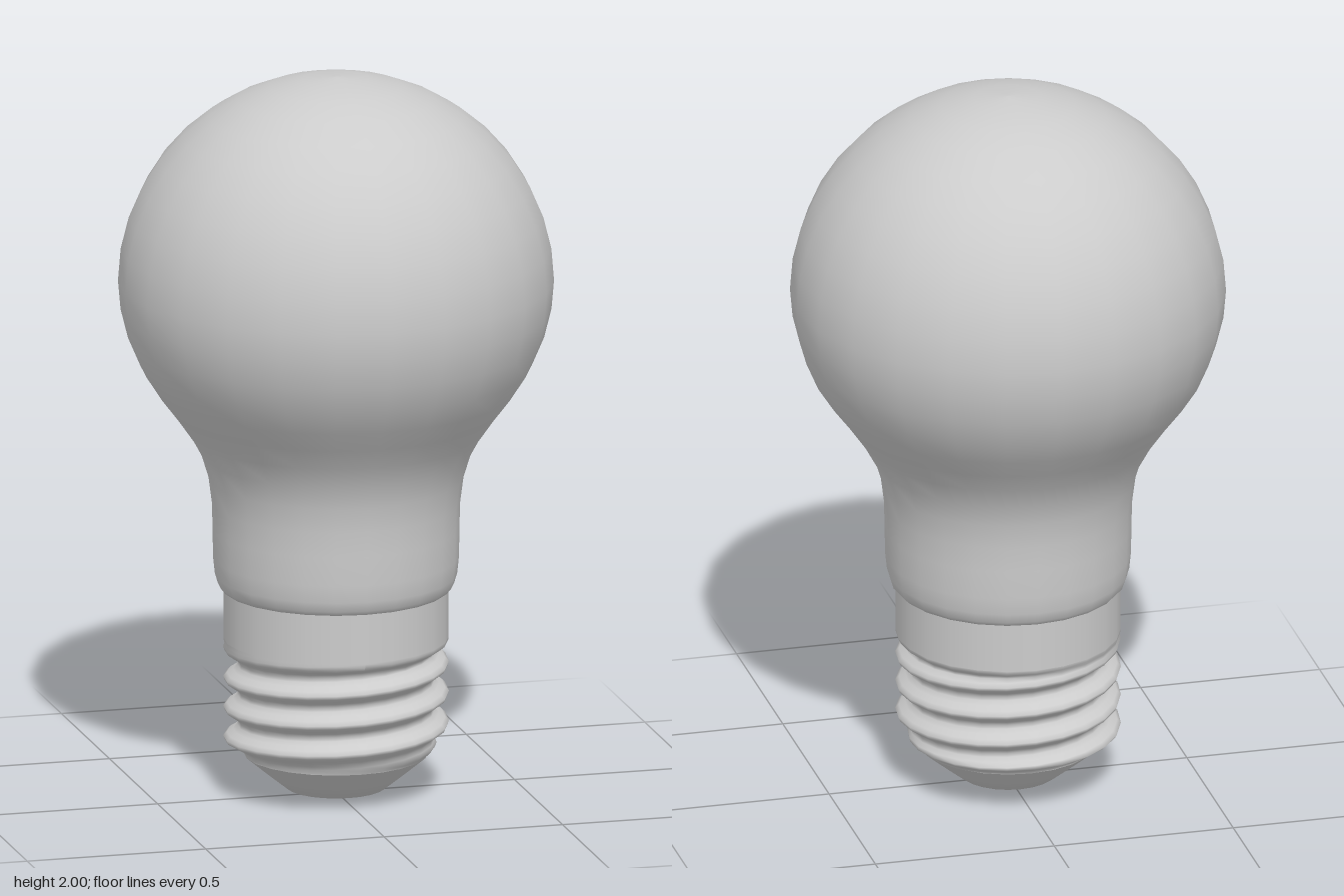
import * as THREE from 'three';
import { mergeVertices, toCreasedNormals } from 'three/addons/utils/BufferGeometryUtils.js';

const SIDES = 24;
const material = new THREE.MeshStandardMaterial({ color: 0xcccccc });
const toPoints = (list) => list.map(([r, y]) => new THREE.Vector2(r, y));

function addMesh(group, name, geometry) {
  const mesh = new THREE.Mesh(geometry, material);
  mesh.name = name;
  group.add(mesh);
}

// Glass: rounded collar and neck, flowing into a globe
function glassGeometry() {
  const profile = [
    [0.295, 0.57], [0.308, 0.572], [0.32, 0.585], [0.328, 0.612], [0.333, 0.66],
    [0.334, 0.74], [0.336, 0.81], [0.345, 0.88], [0.365, 0.945], [0.398, 1.005],
    [0.44, 1.065], [0.486, 1.125], [0.53, 1.193], [0.563, 1.27], [0.583, 1.35],
  ];
  for (let i = 0; i <= 10; i++) {
    const a = (i / 10) * Math.PI / 2;
    profile.push([i === 10 ? 0 : 0.59 * Math.cos(a), 1.43 + 0.57 * Math.sin(a)]);
  }
  return new THREE.LatheGeometry(toPoints(profile), SIDES);
}

// Screw thread: rows climb one pitch per turn, so the ridges form a true helix
function threadGeometry() {
  const pitch = 0.083, perPitch = 8, bottom = 0.11, top = 0.435;
  const step = pitch / perPitch;
  const rows = [];
  for (let y = bottom - pitch; y < top + step; y += step) rows.push([0.3, y]);
  const geometry = new THREE.LatheGeometry(toPoints(rows), SIDES);
  const pos = geometry.attributes.position;
  for (let i = 0; i < pos.count; i++) {
    const turn = Math.floor(i / rows.length) / SIDES;
    const angle = turn * Math.PI * 2;
    const y = THREE.MathUtils.clamp(pos.getY(i) + pitch * turn, bottom, top);
    const wave = 0.5 + 0.5 * Math.cos(2 * Math.PI * ((y - 0.18) / pitch - turn));
    let r = 0.265 + 0.041 * Math.pow(wave, 1.2);
    r = THREE.MathUtils.lerp(0.25, r, THREE.MathUtils.smoothstep(y, 0.11, 0.15));
    r = THREE.MathUtils.lerp(r, 0.305, THREE.MathUtils.smoothstep(y, 0.395, 0.43));
    pos.setXYZ(i, r * Math.sin(angle), y, r * Math.cos(angle));
  }
  // Weld the seam so the shading runs smoothly round the screw
  geometry.deleteAttribute('uv');
  geometry.deleteAttribute('normal');
  const welded = mergeVertices(geometry, 1e-4);
  welded.computeVertexNormals();
  return welded;
}

export function createModel() {
  const group = new THREE.Group();
  group.name = 'lightBulb';

  addMesh(group, 'glassGlobe', glassGeometry());

  // Plain sleeve between the collar and the thread
  addMesh(group, 'capSleeve', new THREE.LatheGeometry(
    toPoints([[0.305, 0.435], [0.305, 0.5], [0.305, 0.575]]), SIDES));

  addMesh(group, 'screwThread', threadGeometry());

  // Tapered insulator and shallow domed contact
  const tip = new THREE.LatheGeometry(toPoints([
    [0, 0], [0.07, 0.004], [0.135, 0.016], [0.19, 0.06], [0.25, 0.11],
  ]), SIDES);
  addMesh(group, 'baseContact', toCreasedNormals(tip, 0.6));

  return group;
}
